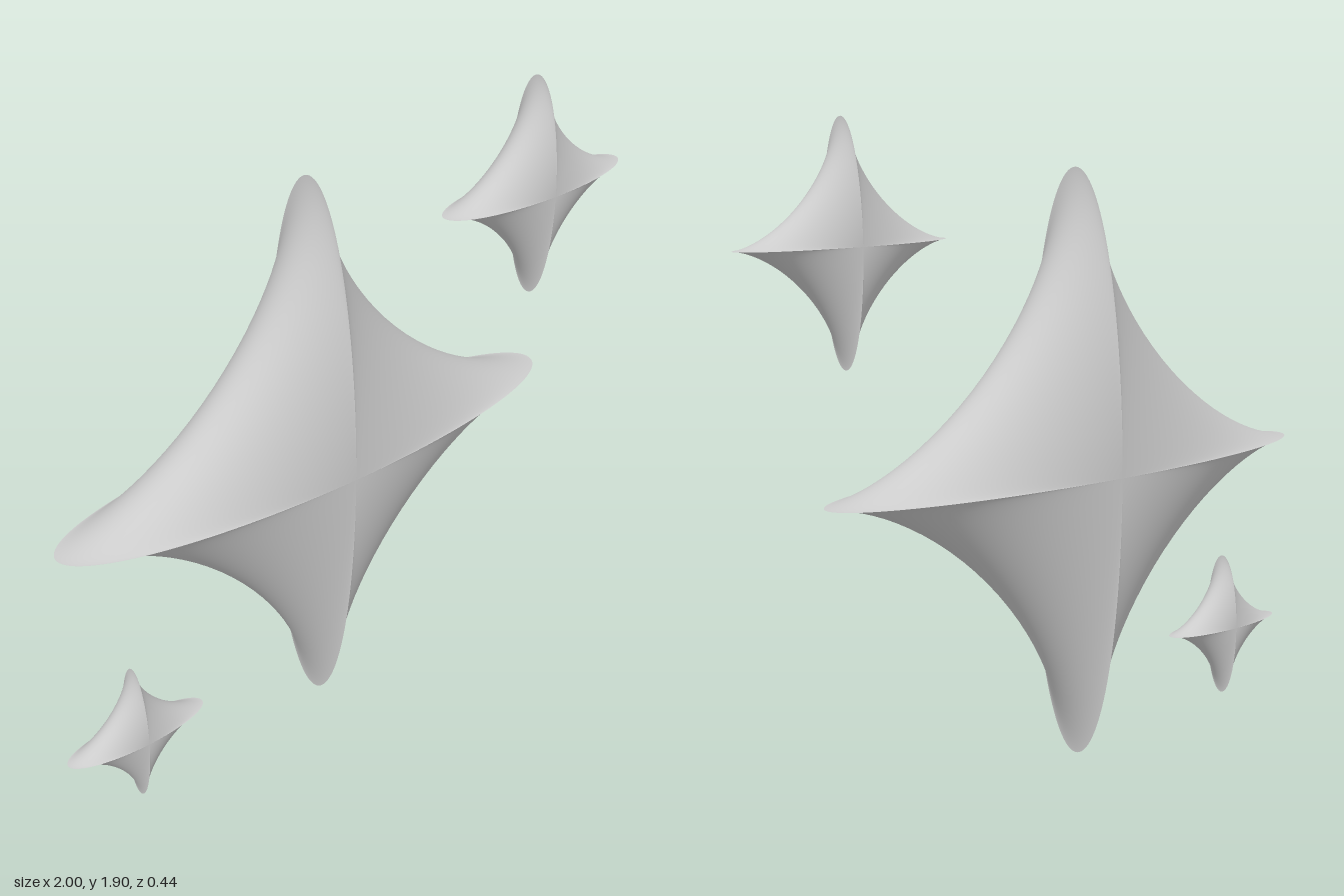
import * as THREE from 'three';
import { mergeGeometries } from 'three/addons/utils/BufferGeometryUtils.js';

// Unit sparkle: an ellipsoid whose cross-sections are pulled into astroids.
// Each quadrant keeps its own normals, so the four ridges stay sharp.
function sparkleGeometry() {
  const quadrants = [];
  for (let q = 0; q < 4; q++) {
    const g = new THREE.SphereGeometry(1, 32, 64, q * Math.PI / 2, Math.PI / 2);
    g.rotateX(Math.PI / 2);
    const p = g.attributes.position;
    for (let i = 0; i < p.count; i++) {
      const x = p.getX(i), y = p.getY(i);
      const r = Math.hypot(x, y) || 1;
      p.setXY(i, x ** 3 / r ** 2, y ** 3 / r ** 2);
    }
    g.computeVertexNormals();
    quadrants.push(g);
  }
  return mergeGeometries(quadrants);
}

export function createModel() {
  const group = new THREE.Group();
  group.name = 'sparkles';
  const material = new THREE.MeshStandardMaterial({ color: 0xcccccc });
  const geometry = sparkleGeometry();

  // name, centre, radius, half depth
  const sparkles = [
    ['largeSparkle', [-0.055, 0.88, -0.015], 0.875, 0.204],
    ['mediumSparkle', [0.657, 1.565, 0.122], 0.341, 0.094],
    ['smallSparkle', [-0.77, 0.25, 0.07], 0.23, 0.066],
  ];
  for (const [name, centre, radius, depth] of sparkles) {
    const mesh = new THREE.Mesh(geometry, material);
    mesh.name = name;
    mesh.position.set(...centre);
    mesh.scale.set(radius, radius, depth);
    group.add(mesh);
  }
  return group;
}
